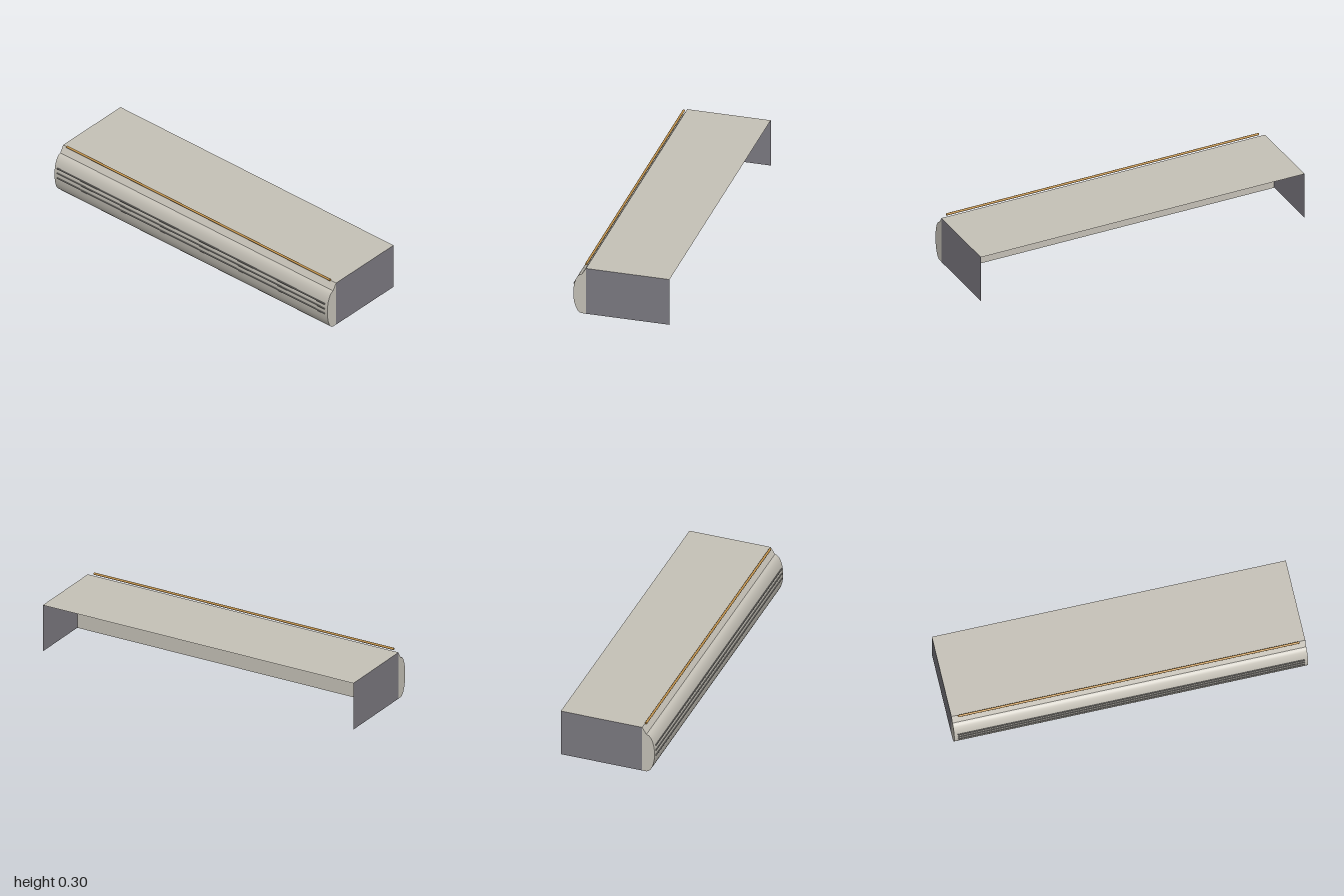
import * as THREE from 'three';
import { toCreasedNormals } from 'three/addons/utils/BufferGeometryUtils.js';

const mat = (name, color, side = THREE.FrontSide) =>
  new THREE.MeshStandardMaterial({ name, color, side });

export function createModel() {
  const group = new THREE.Group();
  const stone = mat('warm grey', 0xc6c2b8, THREE.DoubleSide);
  const slate = mat('slate grey', 0x7c7a81, THREE.DoubleSide);
  const steel = mat('dull steel', 0x8c8a86);
  const brass = mat('brass', 0xc4944c);

  const add = (name, geometry, material, x = 0, y = 0, z = 0) => {
    const mesh = new THREE.Mesh(geometry, material);
    mesh.name = name;
    mesh.position.set(x, y, z);
    group.add(mesh);
    return mesh;
  };

  const back = -0.277, lip = 0.202, height = 0.28;
  const depth = lip - back, midZ = (lip + back) / 2;

  // Open shell: top sheet and two end panels, no back or bottom
  add('topPanel', new THREE.PlaneGeometry(2, depth).rotateX(-Math.PI / 2), stone, 0, height, midZ);
  for (const s of [-1, 1]) {
    add(s > 0 ? 'leftEndPanel' : 'rightEndPanel',
      new THREE.PlaneGeometry(depth, height).rotateY(s * Math.PI / 2), slate, s, height / 2, midZ);
  }

  // Rounded front: half-ellipse nose with a sloping lip, swept along x
  const profile = [new THREE.Vector2(0.09, 0)];
  const steps = 12;
  for (let i = 0; i <= steps; i++) {
    const a = -Math.PI / 2 + Math.PI * i / steps;
    profile.push(new THREE.Vector2(0.227 + 0.048 * Math.cos(a), 0.12 + 0.12 * Math.sin(a)));
  }
  profile.push(new THREE.Vector2(lip, height - 0.0005), new THREE.Vector2(0.09, height - 0.0005));
  const length = 1.999;
  const nose = new THREE.ExtrudeGeometry(new THREE.Shape(profile),
    { depth: length, bevelEnabled: false, steps: 1 });
  nose.translate(0, 0, -length / 2).rotateY(-Math.PI / 2);
  add('roundedFront', toCreasedNormals(nose, 0.6), stone);

  // Horizontal rods: three ribs on the nose and a rail above the lip
  const rod = (name, radius, len, sides, material, y, z) =>
    add(name, new THREE.CylinderGeometry(radius, radius, len, sides).rotateZ(Math.PI / 2), material, 0, y, z);
  [0.105, 0.137, 0.169].forEach((y, i) => rod(`rib${i + 1}`, 0.004, 1.96, 8, steel, y, 0.2755));
  rod('topRail', 0.0065, 1.93, 12, brass, 0.289, 0.211);

  return group;
}
